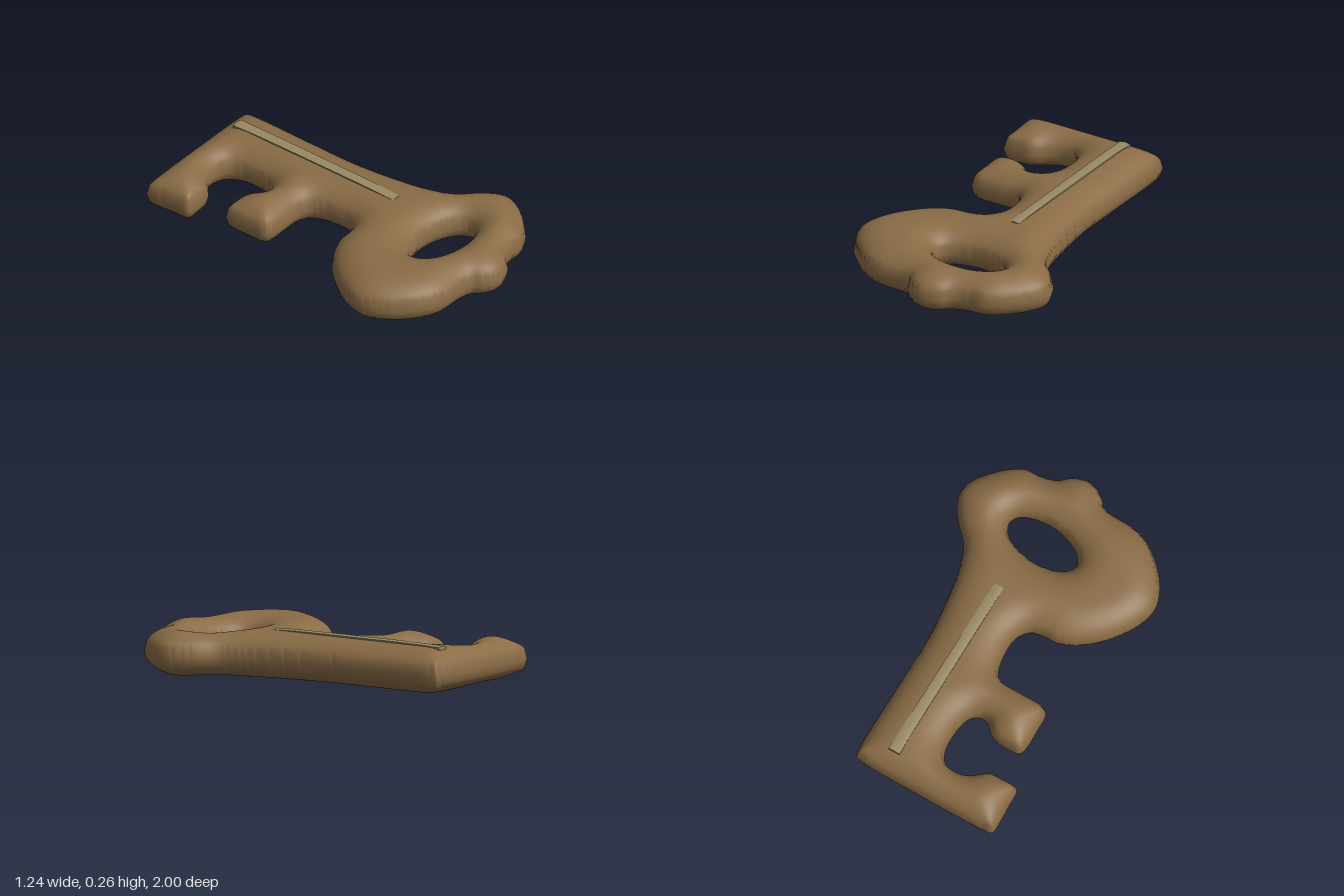
import * as THREE from 'three';

const CELL = 0.0125, NX = 104, NZ = 164; // grid covering the key in plan
const MID = 0.115, UP = 0.138, DOWN = 0.115; // rim level and swell above / below it
const ROUND = 0.18; // how far the rounding reaches in from the rim

// Outline of the key as x, z pairs
const OUTLINE = [
  // end edge and straight side of the shaft
  -.53, -.985, -.52, -.99, -.1, -1, .31, -.99, .325, -.98, .335, -.5, .335, -.23, .36, .02, .395, .21, .45, .355,
  // bow with its lower knob
  .54, .45, .6, .54, .618, .61, .59, .69, .52, .78, .43, .86, .36, .892, .27, .897, .2, .92, .15, .965,
  .09, .992, .04, 1, -.01, .988, -.06, .955, -.09, .92, -.15, .903, -.32, .892, -.42, .85, -.53, .755,
  -.6, .65, -.625, .56, -.605, .46, -.54, .34, -.45, .235, -.35, .16, -.26, .125, -.19, .122, -.12, .105, -.08, .06,
  // short tooth
  -.062, -.01, -.08, -.16, -.11, -.205, -.17, -.225, -.25, -.225, -.42, -.24, -.438, -.35, -.425, -.52,
  -.36, -.53, -.28, -.525, -.23, -.5, -.19, -.46, -.14, -.452, -.1, -.475, -.075, -.53,
  // long tooth
  -.065, -.62, -.07, -.7, -.095, -.755, -.14, -.785, -.2, -.79, -.26, -.77, -.345, -.705, -.42, -.695, -.515, -.702, -.527, -.8,
];

function outlineLoop() {
  const pts = [];
  for (let i = 0; i < OUTLINE.length; i += 2) pts.push(new THREE.Vector3(OUTLINE[i], OUTLINE[i + 1], 0));
  return new THREE.CatmullRomCurve3(pts, true, 'centripetal').getSpacedPoints(400).slice(0, -1);
}

function holeLoop() {
  return new THREE.EllipseCurve(0.082, 0.568, 0.218, 0.112, 0, Math.PI * 2, false, 0.1)
    .getPoints(90).slice(0, -1);
}

// Nearest rim point, and whether the point lies in the key
function probe(x, z, loops) {
  let best = Infinity, px = 0, pz = 0, inside = false;
  for (const loop of loops) {
    for (let i = 0, j = loop.length - 1; i < loop.length; j = i++) {
      const a = loop[j], b = loop[i], ex = b.x - a.x, ez = b.y - a.y;
      const t = THREE.MathUtils.clamp(((x - a.x) * ex + (z - a.y) * ez) / (ex * ex + ez * ez), 0, 1);
      const qx = a.x + ex * t, qz = a.y + ez * t, d = Math.hypot(x - qx, z - qz);
      if (d < best) { best = d; px = qx; pz = qz; }
      if ((a.y > z) !== (b.y > z) && x < a.x + (ex * (z - a.y)) / ez) inside = !inside;
    }
  }
  return { x, z, px, pz, d: best, inside };
}

// Swollen key: a plan grid fitted to the rim, with rounded heights above and below
function keyGeometry() {
  const loops = [outlineLoop(), holeLoop()], row = NX + 1, nodes = [];
  for (let k = 0; k <= NZ; k++) {
    for (let i = 0; i <= NX; i++) nodes.push(probe((i - NX / 2) * CELL, (k - NZ / 2) * CELL, loops));
  }

  // keep the triangles inside the outline
  const kept = [];
  for (let k = 0; k < NZ; k++) {
    for (let i = 0; i < NX; i++) {
      const a = k * row + i, b = a + 1, c = a + row, e = c + 1;
      for (const tri of [[a, c, b], [b, c, e]]) {
        const n = tri.map((v) => nodes[v]);
        const score = n.reduce((s, v) => s + (v.inside ? v.d : -v.d), 0);
        if (score > 0) kept.push(tri);
        n.forEach((v) => { if (score > 0) v.used = true; else v.rim = true; });
      }
    }
  }

  // squared swell, softened away from the rim
  let q = nodes.map((n) => {
    if (!n.inside || n.rim) return 0;
    const t = Math.min(n.d / ROUND, 1);
    return 1 - (1 - t) * (1 - t);
  });
  for (let pass = 0; pass < 14; pass++) {
    q = q.map((v, i) => {
      const n = nodes[i];
      if (!n.used || n.rim) return v;
      const w = THREE.MathUtils.smoothstep(n.d, 0.02, 0.08);
      return v + w * ((q[i - 1] + q[i + 1] + q[i - row] + q[i + row]) / 4 - v);
    });
  }

  const pos = [], index = [];
  nodes.forEach((n, i) => {
    if (!n.used) return;
    const x = n.rim ? n.px : n.x, z = n.rim ? n.pz : n.z, s = Math.sqrt(q[i]);
    n.top = n.bottom = pos.length / 3;
    pos.push(x, MID + UP * s, z);
    if (!n.rim) {
      n.bottom = pos.length / 3;
      pos.push(x, MID - DOWN * s, z);
    }
  });
  for (const [a, b, c] of kept) {
    index.push(nodes[a].top, nodes[b].top, nodes[c].top);
    index.push(nodes[a].bottom, nodes[c].bottom, nodes[b].bottom);
  }
  const geo = new THREE.BufferGeometry();
  geo.setAttribute('position', new THREE.Float32BufferAttribute(pos, 3));
  geo.setIndex(index);
  geo.computeVertexNormals();
  return geo;
}

// Thin raised strip along the shaft, dipping slightly at its ends
function stripGeometry() {
  const geo = new THREE.BoxGeometry(0.06, 0.03, 1.1, 2, 1, 12);
  const p = geo.attributes.position;
  for (let i = 0; i < p.count; i++) {
    const t = p.getZ(i) / 0.55;
    const crown = p.getY(i) > 0 ? -0.006 * Math.min(1, Math.abs(p.getX(i)) / 0.02) : 0;
    p.setY(i, p.getY(i) + crown - 0.006 * t ** 4);
    p.setX(i, p.getX(i) * (t < -0.95 ? 1.15 : 1 + 0.05 * -t));
  }
  geo.computeVertexNormals();
  return geo;
}

export function createModel() {
  const bronze = new THREE.MeshStandardMaterial({ color: 0x8a6c46 });
  bronze.name = 'bronze';
  const paleBrass = new THREE.MeshStandardMaterial({ color: 0x998a64 });
  paleBrass.name = 'paleBrass';

  const key = new THREE.Mesh(keyGeometry(), bronze);
  key.name = 'keyBody';

  const strip = new THREE.Mesh(stripGeometry(), paleBrass);
  strip.name = 'shaftStrip';
  strip.position.set(0.138, 0.25, -0.345);

  const group = new THREE.Group();
  group.name = 'key';
  group.add(key, strip);
  return group;
}
